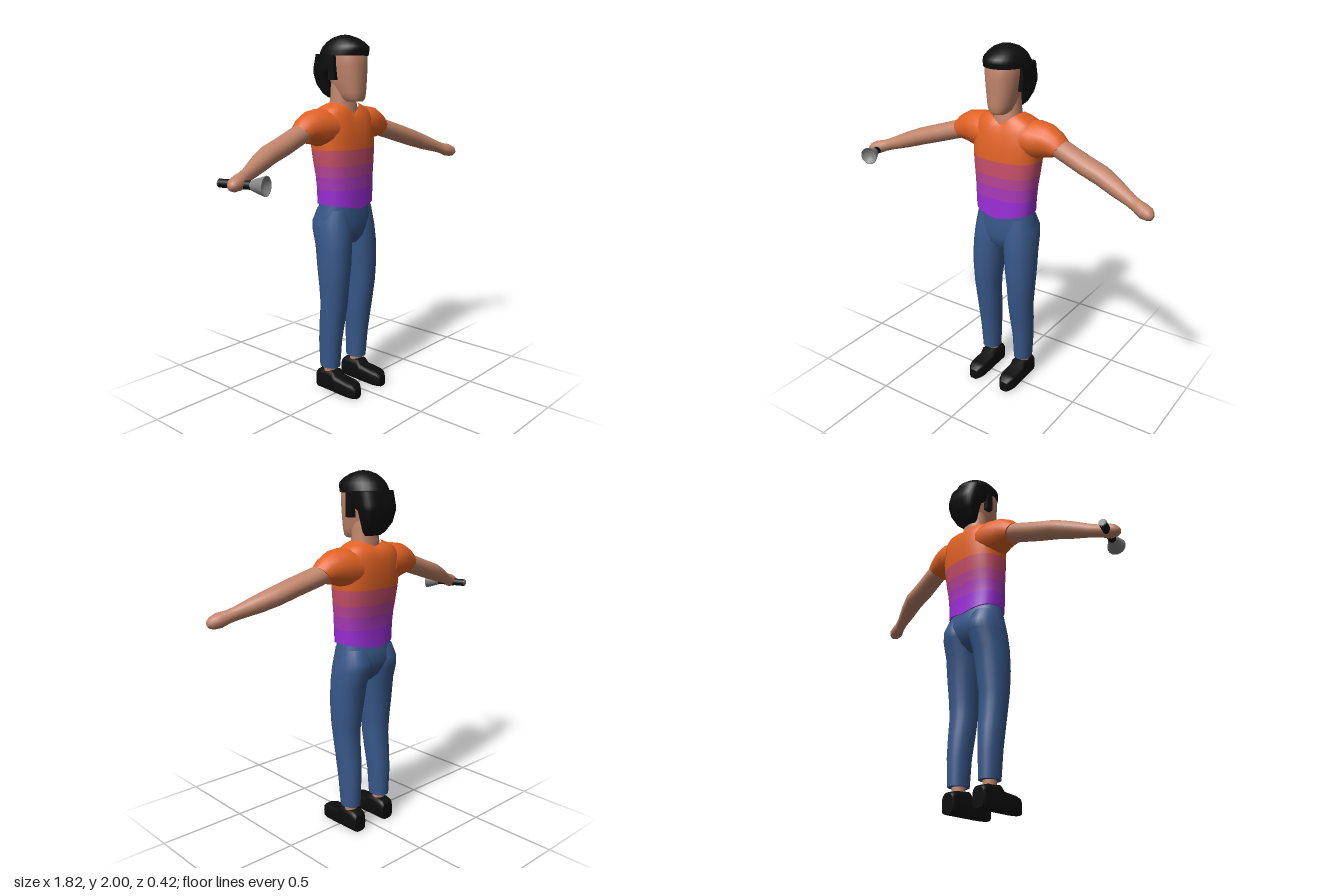
import * as THREE from 'three';

const V = (x, y, z) => new THREE.Vector3(x, y, z);
const mat = (name, color) => new THREE.MeshStandardMaterial({ name, color });
const spow = (v, e) => Math.sign(v) * Math.pow(Math.abs(v), 2 / e);

// Skin a list of rings (equal point counts); rowMats gives a material index per row
function loft(rings, capStart = true, capEnd = true, rowMats = null) {
  const n = rings[0].length, pos = [], idx = [];
  const geo = new THREE.BufferGeometry();
  rings.forEach(r => r.forEach(p => pos.push(p.x, p.y, p.z)));
  for (let i = 0; i < rings.length - 1; i++) {
    if (rowMats) geo.addGroup(idx.length, n * 6, rowMats[i]);
    for (let j = 0; j < n; j++) {
      const a = i * n + j, b = i * n + (j + 1) % n, c = a + n, d = b + n;
      idx.push(a, c, b, b, c, d);
    }
  }
  const cap = (ring, end, m) => {
    const base = pos.length / 3, mid = V(0, 0, 0);
    ring.forEach(p => { mid.add(p); pos.push(p.x, p.y, p.z); });
    mid.divideScalar(n);
    pos.push(mid.x, mid.y, mid.z);
    if (rowMats) geo.addGroup(idx.length, n * 3, m);
    for (let j = 0; j < n; j++) {
      const a = base + j, b = base + (j + 1) % n;
      if (end) idx.push(base + n, b, a); else idx.push(base + n, a, b);
    }
  };
  if (capStart) cap(rings[0], false, rowMats && rowMats[0]);
  if (capEnd) cap(rings[rings.length - 1], true, rowMats && rowMats[rowMats.length - 1]);
  geo.setAttribute('position', new THREE.Float32BufferAttribute(pos, 3));
  geo.setIndex(idx);
  geo.computeVertexNormals();
  return geo;
}

const circle = (n, f) => Array.from({ length: n }, (_, j) => {
  const t = j / n * Math.PI * 2;
  return f(Math.cos(t), Math.sin(t));
});

// Level rings, bottom to top: [y, halfWidth, zFront, zBack, dropFront, dropBack, centreX]
const stack = (rows, e = 2.3, n = 28) => rows.map(([y, hw, zf, zb, df = 0, db = 0, cx = 0]) =>
  circle(n, (c, s) => {
    const u = spow(c, e), w = spow(s, e);
    return V(cx + hw * u, y - (s > 0 ? df : db) * (1 - Math.abs(u)), (zf + zb) / 2 + (zf - zb) / 2 * w);
  }));

// Rings along an arm, inside to outside: [x, y, z, radiusY, radiusZ, tilt]
const limb = (rows, n = 18) => rows.map(([x, y, z, ry, rz, t]) =>
  circle(n, (c, s) => V(x + ry * c * Math.sin(t), y + ry * c * Math.cos(t), z - rz * s)));

// Rings from toe to heel: [z, halfWidth, top]
const shoeRings = rows => rows.map(([z, hw, top]) =>
  circle(20, (c, s) => V(0.11 + hw * spow(c, 4), top / 2 + top / 2 * spow(s, 4), z)));

const mirror = rings => rings.map(r => r.map(p => V(-p.x, p.y, p.z)).reverse());

export function createModel() {
  const model = new THREE.Group();
  model.name = 'person';
  const skin = mat('skin', 0xc0846a), black = mat('black', 0x0d0d0d), denim = mat('denim', 0x38588a);
  const grey = mat('grey metal', 0x858585);
  grey.side = THREE.DoubleSide;
  const shirt = [mat('purple', 0x9c2ed8), mat('violet', 0xa83ab8), mat('magenta', 0xb74498),
    mat('coral', 0xc74f6a), mat('orange', 0xe26224)];
  const add = (name, geo, material, parent = model) => {
    const m = new THREE.Mesh(geo, material);
    m.name = name;
    parent.add(m);
    return m;
  };
  const pair = (name, rings, material) => {
    add('left' + name, loft(rings), material);
    add('right' + name, loft(mirror(rings)), material);
  };

  // Shirt body with colour bands from hem to collar
  add('shirt', loft(stack([
    [1.10, 0.172, 0.066, -0.165, 0.032, 0.03],
    [1.18, 0.177, 0.064, -0.163],
    [1.25, 0.181, 0.064, -0.17],
    [1.31, 0.188, 0.065, -0.18],
    [1.397, 0.197, 0.066, -0.192],
    [1.48, 0.2, 0.06, -0.197],
    [1.56, 0.195, 0.046, -0.193, 0.02, 0.01],
    [1.605, 0.165, 0.034, -0.18, 0.04, 0.02],
    [1.628, 0.125, 0.026, -0.162, 0.05, 0.025],
    [1.645, 0.08, 0.016, -0.14, 0.06, 0.03],
  ], 2.5, 36), true, false, [0, 1, 2, 3, 4, 4, 4, 4, 4]), shirt);

  // Sleeves
  pair('Sleeve', limb([
    [0.12, 1.51, -0.075, 0.1, 0.11, 0],
    [0.18, 1.516, -0.075, 0.102, 0.108, 0],
    [0.235, 1.515, -0.075, 0.094, 0.09, 0.2],
    [0.28, 1.503, -0.074, 0.078, 0.077, 0.45],
    [0.315, 1.487, -0.073, 0.06, 0.065, 0.63],
  ]), shirt[4]);

  // Arms ending in closed hands
  pair('Arm', limb([
    [0.26, 1.51, -0.074, 0.048, 0.055, 0.4],
    [0.34, 1.485, -0.07, 0.052, 0.06, 0.36],
    [0.48, 1.441, -0.045, 0.051, 0.061, 0.36],
    [0.58, 1.41, -0.035, 0.05, 0.06, 0.36],
    [0.67, 1.378, -0.008, 0.045, 0.05, 0.36],
    [0.77, 1.343, 0.026, 0.034, 0.034, 0.36],
    [0.81, 1.33, 0.04, 0.033, 0.034, 0.3],
    [0.85, 1.317, 0.054, 0.038, 0.042, 0.2],
    [0.885, 1.308, 0.058, 0.032, 0.037, 0.15],
    [0.902, 1.304, 0.061, 0.021, 0.024, 0.1],
    [0.908, 1.303, 0.062, 0.008, 0.009, 0.1],
  ]), skin);

  // Neck and head
  add('neck', loft(stack([
    [1.53, 0.075, 0.015, -0.12], [1.6, 0.078, 0.012, -0.13], [1.64, 0.077, 0.003, -0.128],
    [1.68, 0.074, 0.0, -0.122], [1.76, 0.07, 0.0, -0.12],
  ])), skin);
  add('head', loft(stack([
    [1.652, 0.04, 0.065, -0.03], [1.665, 0.055, 0.075, -0.06], [1.70, 0.068, 0.079, -0.1],
    [1.76, 0.08, 0.08, -0.13], [1.84, 0.091, 0.081, -0.15], [1.92, 0.096, 0.078, -0.15], [1.95, 0.07, 0.05, -0.12],
  ], 2.4)), skin);

  // Hair: crown, back and sideburns
  add('hairCrown', loft(stack([
    [1.89, 0.116, 0.084, -0.198], [1.915, 0.114, 0.09, -0.19], [1.938, 0.106, 0.093, -0.178],
    [1.963, 0.089, 0.062, -0.15], [1.984, 0.065, 0.022, -0.115], [1.997, 0.03, -0.02, -0.075],
    [2.0, 0.006, -0.04, -0.052],
  ], 2.1)), black);
  add('hairBack', loft(stack([
    [1.67, 0.05, -0.105, -0.135], [1.69, 0.072, -0.1, -0.162], [1.74, 0.094, -0.097, -0.2],
    [1.8, 0.108, -0.085, -0.215], [1.83, 0.113, -0.035, -0.216], [1.9, 0.116, -0.015, -0.196],
  ], 3)), black);
  for (const s of [-1, 1]) {
    const burn = add('sideburn', new THREE.BoxGeometry(0.03, 0.13, 0.042), black);
    burn.position.set(s * 0.095, 1.83, -0.051);
  }

  // Trousers
  add('trouserSeat', loft(stack([
    [0.87, 0.06, 0.02, -0.09], [0.91, 0.15, 0.045, -0.135], [0.95, 0.182, 0.055, -0.16],
    [1.0, 0.184, 0.058, -0.178], [1.05, 0.175, 0.056, -0.165], [1.11, 0.165, 0.052, -0.152],
  ])), denim);
  const legRow = (y, inner, outer, zf, zb) => [y, (outer - inner) / 2, zf, zb, 0, 0, (outer + inner) / 2];
  pair('TrouserLeg', stack([
    legRow(0.145, 0.062, 0.164, -0.005, -0.126),
    legRow(0.3, 0.056, 0.172, 0.008, -0.13),
    legRow(0.42, 0.045, 0.178, 0.026, -0.122),
    legRow(0.52, 0.04, 0.182, 0.042, -0.112),
    legRow(0.62, 0.038, 0.19, 0.054, -0.115),
    legRow(0.74, 0.024, 0.196, 0.063, -0.13),
    legRow(0.86, 0.012, 0.196, 0.063, -0.145),
    legRow(0.95, 0.0, 0.191, 0.058, -0.176),
    legRow(1.0, 0.0, 0.185, 0.05, -0.18),
    legRow(1.07, 0.01, 0.168, 0.04, -0.15),
  ], 2.2, 22), denim);

  // Ankles and shoes
  pair('Ankle', stack([[0.09, 0.036, -0.03, -0.102, 0, 0, 0.112], [0.2, 0.036, -0.03, -0.102, 0, 0, 0.112]], 2, 14), skin);
  pair('Shoe', shoeRings([
    [0.143, 0.026, 0.062], [0.125, 0.041, 0.082], [0.095, 0.05, 0.09], [0.0, 0.05, 0.1],
    [-0.022, 0.049, 0.127], [-0.1, 0.047, 0.122], [-0.133, 0.045, 0.113], [-0.145, 0.038, 0.1],
  ]), black);

  // Torch held in the right hand
  const torch = new THREE.Group();
  torch.name = 'torch';
  torch.position.set(-0.88, 1.308, -0.045);
  torch.quaternion.setFromUnitVectors(V(0, 1, 0), V(0.08, 0, 0.235).normalize());
  model.add(torch);
  add('torchGrip', new THREE.CylinderGeometry(0.021, 0.021, 0.18, 18), black, torch).position.y = 0.092;
  add('torchEndCap', new THREE.CylinderGeometry(0.018, 0.018, 0.006, 18), grey, torch).position.y = 0;
  const head = [[0.02, 0.17], [0.026, 0.178], [0.049, 0.248], [0.045, 0.248], [0.028, 0.225], [0, 0.225]];
  add('torchHead', new THREE.LatheGeometry(head.map(p => new THREE.Vector2(...p)), 20), grey, torch);
  return model;
}
